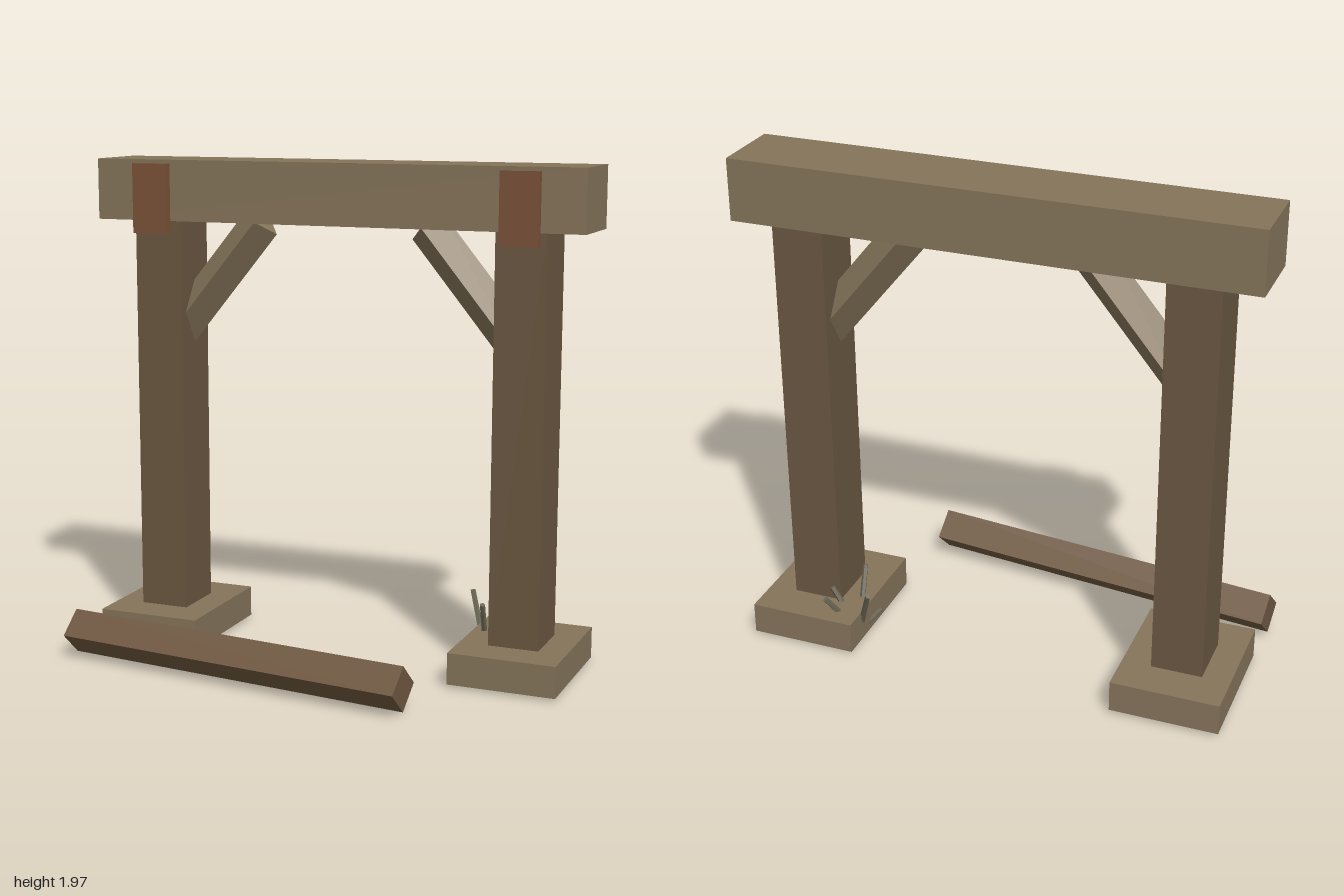
import * as THREE from 'three';

const mat = (color) => new THREE.MeshStandardMaterial({ color, flatShading: true });
const paleWood = mat(0x85745a);
const postWood = mat(0x6a5741);
const fallenWood = mat(0x6e5740);
const plateMat = mat(0x7a5238);
const twigMat = mat(0x6b6756);

const V = (x, y, z) => new THREE.Vector3(x, y, z);
const UP = V(0, 1, 0);

export function createModel() {
  const group = new THREE.Group();

  // axis-aligned block given by its limits
  const block = (name, x0, x1, y0, y1, z0, z1, material) => {
    const mesh = new THREE.Mesh(new THREE.BoxGeometry(x1 - x0, y1 - y0, z1 - z0), material);
    mesh.position.set((x0 + x1) / 2, (y0 + y1) / 2, (z0 + z1) / 2);
    mesh.name = name;
    group.add(mesh);
  };

  // straight prism between two points
  const bar = (name, a, b, rTop, rBottom, sides, material) => {
    const geo = new THREE.CylinderGeometry(rTop, rBottom, a.distanceTo(b), sides);
    const mesh = new THREE.Mesh(geo, material);
    const dir = b.clone().sub(a).normalize();
    mesh.position.copy(a).add(b).multiplyScalar(0.5);
    // keep one pair of corners level along z or in the vertical plane
    const side = V(0, 0, 1).cross(dir).normalize();
    const basis = new THREE.Matrix4().makeBasis(side, dir, side.clone().cross(dir));
    mesh.quaternion.setFromRotationMatrix(basis);
    mesh.name = name;
    group.add(mesh);
    return mesh;
  };

  block('lintelBeam', -1, 1, 1.73, 1.97, -0.37, -0.075, paleWood);

  // both uprights with footing, face plate and diagonal brace
  for (const [s, side] of [[-1, 'right'], [1, 'left']]) {
    const mirrored = (name, a, b, ...rest) =>
      block(side + name, Math.min(s * a, s * b), Math.max(s * a, s * b), ...rest);
    mirrored('Footing', 0.535, 0.96, 0.015, 0.14, -0.49, 0.045, paleWood);
    mirrored('Post', 0.65, 0.85, 0.12, 1.75, -0.335, -0.105, postWood);
    mirrored('Plate', 0.68, 0.83, 1.68, 1.955, -0.08, -0.045, plateMat);
    bar(side + 'Brace', V(s * 0.727, 1.266, -0.22), V(s * 0.346, 1.73, -0.22), 0.08, 0.08, 4, paleWood);
  }

  // fallen timber lying on one edge in front
  bar('fallenBeam', V(-0.972, 0.102, 0.23), V(0.487, 0.102, 0.395), 0.088, 0.088, 4, fallenWood);

  // clump of twigs fanning out beside one footing
  const root = V(0.57, 0.012, -0.34);
  const tips = [
    V(0.48, 0.255, -0.435), V(0.585, 0.26, -0.23), V(0.66, 0.21, -0.45),
    V(0.68, 0.2, -0.345), V(0.5, 0.09, -0.27),
  ];
  tips.forEach((tip, i) => bar('twig' + (i + 1), root, tip, 0.011, 0.013, 5, twigMat));

  return group;
}
